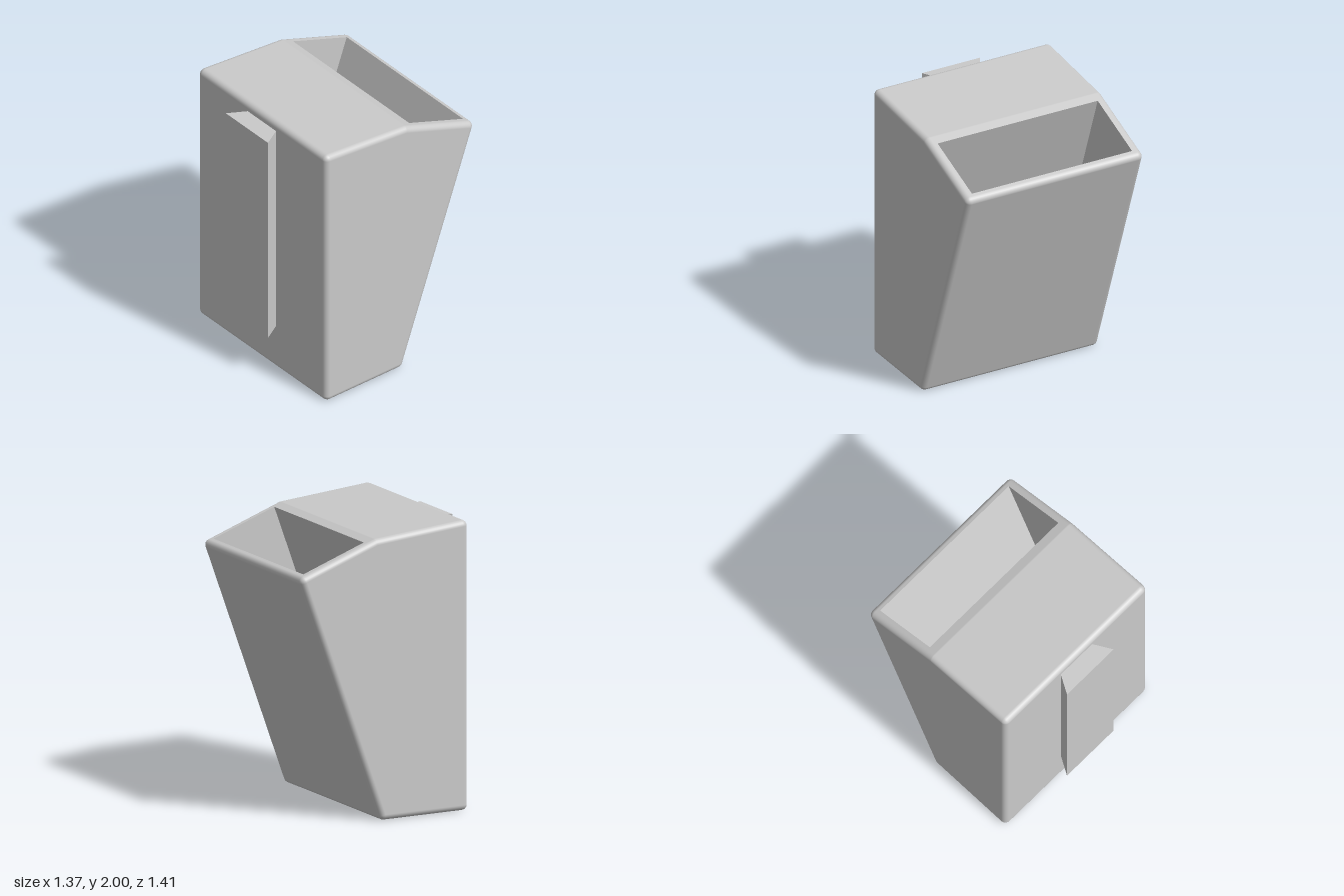
import * as THREE from 'three';

const HALF_WIDTH = 0.685, R = 0.04, STEPS = 6;

// Side outline as [z, y], running up the front and over the top to the back
const OUTLINE = [[0.577, 0], [0.577, 2.003], [-0.13, 1.942], [-0.717, 1.729], [-0.09, 0]]
  .map(([z, y]) => new THREE.Vector2(z, y));
const RIDGE = 2; // the opening face runs from this corner to the next

const edgeNormal = (k) => {
  const n = OUTLINE.length;
  const d = OUTLINE[(k + 1) % n].clone().sub(OUTLINE[k]).normalize();
  return new THREE.Vector2(d.y, -d.x);
};
const cornerNormals = (k) => [edgeNormal((k + OUTLINE.length - 1) % OUTLINE.length), edgeNormal(k)];

// Outline corners pulled inward by the edge radius
const CORE = OUTLINE.map((p, k) => {
  const [a, b] = cornerNormals(k);
  return p.clone().addScaledVector(a.clone().add(b), -R / (1 + a.dot(b)));
});

// Outer skin with rounded edges, left open on the flat of the opening face
function shellGeometry() {
  const columns = [];
  CORE.forEach((core, k) => {
    const [a, b] = cornerNormals(k);
    const start = a.angle();
    const turn = (b.angle() - start + 2 * Math.PI) % (2 * Math.PI);
    for (let i = 0; i <= STEPS; i++) {
      const t = start + turn * i / STEPS;
      columns.push({ core, z: Math.cos(t), y: Math.sin(t) });
    }
  });
  const positions = [], normals = [], index = [];
  const rows = 2 * (STEPS + 1), cols = columns.length;
  for (let i = 0; i < rows; i++) {
    const side = i <= STEPS ? -1 : 1;
    const angle = (side < 0 ? STEPS - i : i - STEPS - 1) / STEPS * Math.PI / 2;
    const c = Math.cos(angle), s = side * Math.sin(angle);
    for (const { core, z, y } of columns) {
      positions.push(side * (HALF_WIDTH - R) + R * s, core.y + R * c * y, core.x + R * c * z);
      normals.push(s, c * y, c * z);
    }
  }
  const openColumn = RIDGE * (STEPS + 1) + STEPS;
  for (let i = 0; i < rows - 1; i++) {
    for (let j = 0; j < cols; j++) {
      if (i === STEPS && j === openColumn) continue;
      const k = (j + 1) % cols;
      const a = i * cols + j, b = a + cols, c = (i + 1) * cols + k, d = i * cols + k;
      index.push(a, b, c, a, c, d);
    }
  }
  // flat side panels
  const last = (rows - 1) * cols;
  for (let k = 1; k < CORE.length - 1; k++) {
    const p = k * (STEPS + 1), q = (k + 1) * (STEPS + 1);
    index.push(0, p, q, last, last + q, last + p);
  }
  const g = new THREE.BufferGeometry();
  g.setAttribute('position', new THREE.Float32BufferAttribute(positions, 3));
  g.setAttribute('normal', new THREE.Float32BufferAttribute(normals, 3));
  g.setIndex(index);
  return g;
}

function quadsGeometry(quads) {
  const points = quads.flatMap(([a, b, c, d]) => [a, b, c, a, c, d]);
  const g = new THREE.BufferGeometry().setFromPoints(points);
  g.computeVertexNormals();
  return g;
}

// Rectangle parallel to the opening face, sunk by depth
function faceRectangle(halfX, z0, z1, depth) {
  const n = edgeNormal(RIDGE);
  const base = CORE[RIDGE].clone().addScaledVector(n, R);
  const point = (x, z) => new THREE.Vector3(
    x, base.y - (z - base.x) * n.x / n.y - depth * n.y, z - depth * n.x);
  return [point(-halfX, z0), point(halfX, z0), point(halfX, z1), point(-halfX, z1)];
}

export function createModel() {
  const group = new THREE.Group();
  const grey = new THREE.MeshStandardMaterial({ color: 0xcacaca });
  grey.name = 'light grey';

  const add = (name, geometry) => {
    const mesh = new THREE.Mesh(geometry, grey);
    mesh.name = name;
    group.add(mesh);
    return mesh;
  };

  add('binShell', shellGeometry());

  // Rim around the opening, and the straight pocket sunk square to it
  const n = edgeNormal(RIDGE);
  const outer = faceRectangle(HALF_WIDTH - R,
    CORE[RIDGE].x + R * n.x, CORE[RIDGE + 1].x + R * n.x, 0);
  const inner = faceRectangle(0.62, -0.195, -0.66, 0);
  const floor = faceRectangle(0.62, -0.195, -0.66, 1.7);
  const ring = (a, b) => a.map((p, i) => [p, a[(i + 1) % 4], b[(i + 1) % 4], b[i]]);
  add('openingRim', quadsGeometry(ring(outer, inner)));
  add('pocket', quadsGeometry([...ring(inner, floor), floor]));

  // Dovetail mounting rail on the front
  const section = new THREE.Shape([[-0.15, -0.575], [-0.225, -0.707], [0.225, -0.707], [0.15, -0.575]]
    .map(([x, y]) => new THREE.Vector2(x, y)));
  const rail = new THREE.ExtrudeGeometry(section, { depth: 1.595, bevelEnabled: false });
  rail.rotateX(-Math.PI / 2);
  add('mountingRail', rail).position.y = 0.342;

  return group;
}
